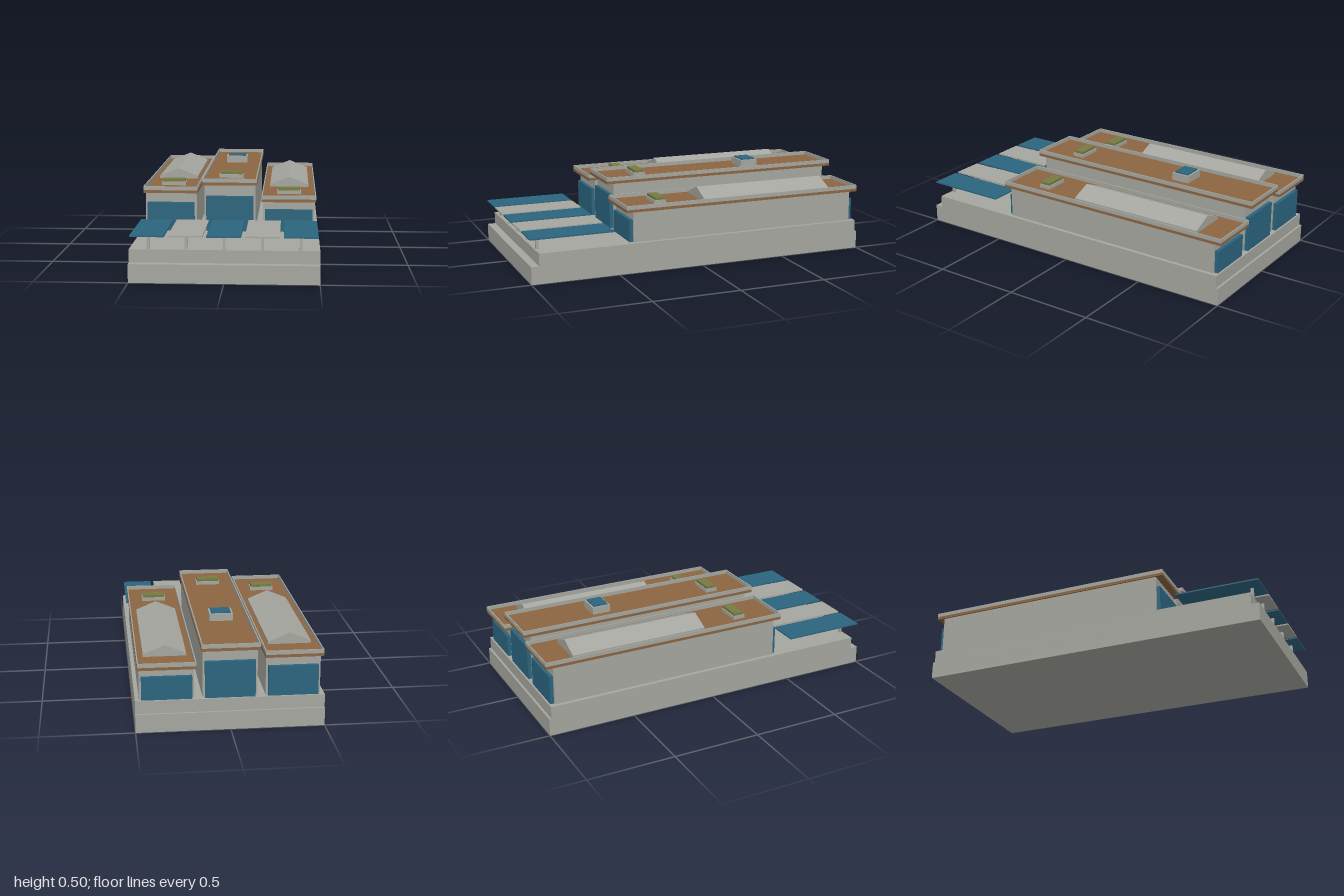
import * as THREE from 'three';

const paint = (name, color) => {
  const m = new THREE.MeshStandardMaterial({ color });
  m.name = name;
  return m;
};

export function createModel() {
  const concrete = paint('concrete grey', 0xa6a6a0);
  const timber = paint('roof brown', 0x8b6542);
  const glass = paint('glass blue', 0x2b647e);
  const olive = paint('vent olive', 0x777a42);
  const model = new THREE.Group();
  model.name = 'threeHallBuilding';

  // box given by its limits on each axis
  const box = (parent, name, mat, [x0, x1], [y0, y1], [z0, z1]) => {
    const mesh = new THREE.Mesh(new THREE.BoxGeometry(x1 - x0, y1 - y0, z1 - z0), mat);
    mesh.position.set((x0 + x1) / 2, (y0 + y1) / 2, (z0 + z1) / 2);
    mesh.name = name;
    parent.add(mesh);
  };
  const span = (c, half) => [c - half, c + half];

  // stepped base
  box(model, 'baseSlab', concrete, [-0.5, 0.5], [0, 0.1], [-1, 1]);
  box(model, 'plinth', concrete, [-0.5, 0.5], [0.1, 0.17], [-0.987, 0.955]);

  // long roof light with a low curb and a gabled top
  const roofLight = (parent, y) => {
    const s = new THREE.Shape();
    s.moveTo(-0.115, 0);
    s.lineTo(0.115, 0);
    s.lineTo(0.115, 0.014);
    s.lineTo(0, 0.062);
    s.lineTo(-0.115, 0.014);
    s.closePath();
    const geo = new THREE.ExtrudeGeometry(s, { depth: 0.8, bevelEnabled: false });
    const mesh = new THREE.Mesh(geo, concrete);
    mesh.position.set(0, y, -0.83);
    mesh.name = 'roofLight';
    parent.add(mesh);
  };

  // one hall: walls, end glazing, roof slab, parapet and roof vent
  const hall = (name, x, wallTop, glassTop, gabled) => {
    const g = new THREE.Group();
    g.name = name;
    g.position.x = x;
    model.add(g);
    const floor = wallTop + 0.016, rim = floor + 0.022;
    box(g, 'walls', concrete, span(0, 0.145), [0.17, wallTop], [-0.956, 0.408]);
    box(g, 'frontGlazing', glass, span(0, 0.133), [0.17, glassTop], [0.408, 0.428]);
    box(g, 'backGlazing', glass, span(0, 0.133), [0.17, glassTop], [-0.977, -0.956]);
    box(g, 'roofSlab', timber, span(0, 0.153), [wallTop, floor], [-1, 0.45]);
    for (const s of [-1, 1]) {
      box(g, 'sideParapet', concrete, span(s * 0.15, 0.003), [floor, rim], [-1, 0.45]);
    }
    for (const z of [-0.997, 0.447]) {
      box(g, 'endParapet', concrete, span(0, 0.147), [floor, rim], span(z, 0.003));
    }
    box(g, 'ventBase', concrete, span(0, 0.07), [floor, floor + 0.02], span(0.22, 0.035));
    box(g, 'ventCap', olive, span(0, 0.064), [floor + 0.02, floor + 0.035], span(0.22, 0.029));
    if (gabled) roofLight(g, floor);
    else {
      box(g, 'hatchBase', concrete, span(0, 0.065), [floor, 0.493], span(-0.492, 0.053));
      box(g, 'hatchGlass', glass, span(0, 0.054), [0.493, 0.5], span(-0.492, 0.043));
    }
  };
  hall('rightHall', -0.333, 0.389, 0.333, true);
  hall('middleHall', 0, 0.435, 0.37, false);
  hall('leftHall', 0.333, 0.342, 0.296, true);

  // row of canopy panels, each on a single front post
  for (let i = -2; i <= 2; i++) {
    const x = i * 0.2;
    box(model, 'canopyPanel', i % 2 ? concrete : glass, span(x, 0.09), [0.244, 0.252], [0.525, 1]);
    box(model, 'canopyPost', concrete, span(x, 0.007), [0.17, 0.244], span(0.938, 0.008));
  }
  return model;
}
